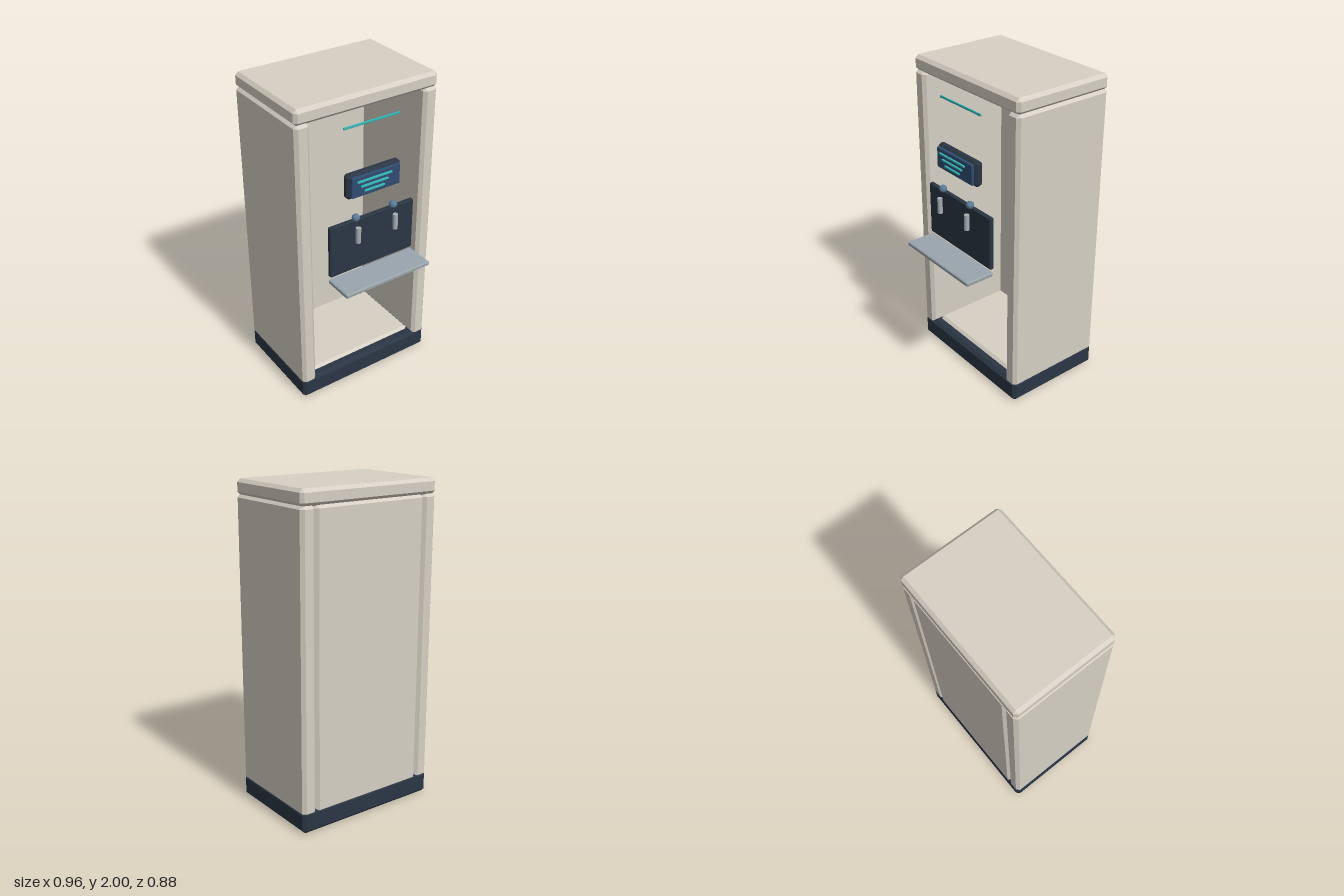
import * as THREE from 'three';
import { ConvexGeometry } from 'three/addons/geometries/ConvexGeometry.js';

const paint = (color) => new THREE.MeshStandardMaterial({ color, flatShading: true });

// Box given by its limits, with every edge cut by a single chamfer
function chamferBox(x0, x1, y0, y1, z0, z1, c) {
  const half = [(x1 - x0) / 2, (y1 - y0) / 2, (z1 - z0) / 2];
  const points = [];
  for (const sx of [-1, 1]) for (const sy of [-1, 1]) for (const sz of [-1, 1]) {
    for (let axis = 0; axis < 3; axis++) {
      const p = half.map((h, i) => (i === axis ? h : h - c));
      points.push(new THREE.Vector3(sx * p[0], sy * p[1], sz * p[2]));
    }
  }
  return new ConvexGeometry(points).translate((x0 + x1) / 2, (y0 + y1) / 2, (z0 + z1) / 2);
}

export function createModel() {
  const group = new THREE.Group();
  const shell = paint(0xd6d0c4);
  const dark = paint(0x2b3644);
  const screenBlue = paint(0x304c72);
  const cyan = paint(0x35b5b5);
  const metal = paint(0x9aa5ad);
  const knobBlue = new THREE.MeshStandardMaterial({ color: 0x5b7c99 });
  const spoutMetal = new THREE.MeshStandardMaterial({ color: 0xa8adb2 });

  const add = (name, geometry, material) => {
    const mesh = new THREE.Mesh(geometry, material);
    mesh.name = name;
    group.add(mesh);
    return mesh;
  };

  // Cabinet, open at the front
  add('base', chamferBox(-0.48, 0.48, 0, 0.14, -0.44, 0.22, 0.02), dark);
  add('topCap', chamferBox(-0.48, 0.48, 1.905, 2, -0.44, 0.22, 0.02), shell);
  add('leftSide', chamferBox(0.385, 0.48, 0.11, 1.912, -0.44, 0.22, 0.02), shell);
  add('rightSide', chamferBox(-0.48, -0.385, 0.11, 1.912, -0.44, 0.22, 0.02), shell);
  add('backPanel', chamferBox(-0.387, 0.387, 0.11, 1.912, -0.44, -0.355, 0.02), shell);
  add('floorPanel', chamferBox(-0.387, 0.387, 0.08, 0.157, -0.4, 0.165, 0.02), shell);

  // Light strip and display
  add('lightStrip', chamferBox(-0.19, 0.19, 1.822, 1.836, 0.235, 0.244, 0.002), cyan);
  add('displayHousing', chamferBox(-0.187, 0.187, 1.393, 1.55, 0.222, 0.276, 0.016), dark);
  add('displayScreen', chamferBox(-0.168, 0.168, 1.407, 1.536, 0.272, 0.292, 0.004), screenBlue);
  [[1.506, 0.12], [1.473, 0.095], [1.44, 0.07]].forEach(([y, w]) => {
    add('displayLine', chamferBox(-0.015 - w, -0.015 + w, y - 0.006, y + 0.006, 0.29, 0.303, 0.002), cyan);
  });

  // Dispensing panel with drip tray
  add('dispensingPanel', chamferBox(-0.3, 0.3, 0.9, 1.243, 0.236, 0.266, 0.006), dark);
  add('dripTray', chamferBox(-0.305, 0.305, 0.855, 0.884, 0.246, 0.44, 0.006), metal);

  // Pair of taps
  for (const side of [-1, 1]) {
    add('tapKnob', new THREE.SphereGeometry(0.024, 20, 14), knobBlue).position.set(side * 0.133, 1.27, 0.28);
    add('tapSpout', new THREE.CylinderGeometry(0.016, 0.016, 0.1, 20), spoutMetal).position.set(side * 0.133, 1.165, 0.307);
  }
  return group;
}
